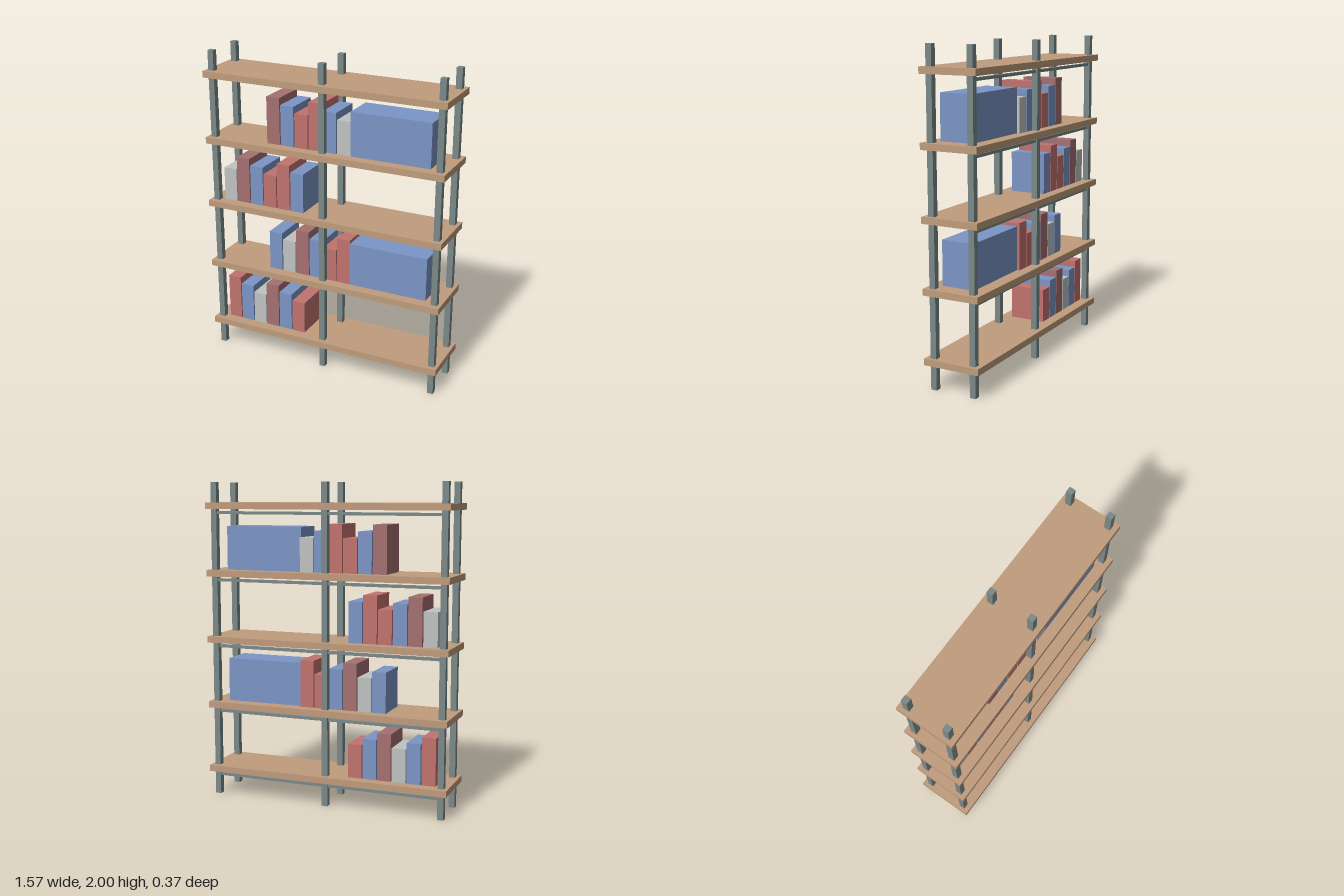
import * as THREE from 'three';

const material = (name, color) => {
  const m = new THREE.MeshStandardMaterial({ color });
  m.name = name;
  return m;
};

export function createModel() {
  const model = new THREE.Group();
  model.name = 'bookshelf';

  const wood = material('wood', 0xc09c7c);
  const metal = material('greyMetal', 0x7b8988);
  const red = material('red', 0xc1736f);
  const blue = material('blue', 0x7b95c6);
  const grey = material('paleGrey', 0xc0c3c2);
  const maroon = material('dustyMaroon', 0xa57071);

  // Box given by its size and centre
  const box = (name, mat, w, h, d, x, y, z, parent = model) => {
    const mesh = new THREE.Mesh(new THREE.BoxGeometry(w, h, d), mat);
    mesh.name = name;
    mesh.position.set(x, y, z);
    parent.add(mesh);
  };

  // Six square uprights
  for (const x of [-0.745, 0, 0.745])
    for (const z of [-0.132, 0.132])
      box('post', metal, 0.038, 2, 0.038, x, 1, z);

  // Five boards, each with a thin rail below its back edge
  const shelfY = (i) => 0.172 + i * 0.4207;
  for (let i = 0; i < 5; i++) {
    box('shelf', wood, 1.574, 0.04, 0.366, 0, shelfY(i), 0);
    box('backRail', metal, 1.46, 0.018, 0.02, 0, shelfY(i) - 0.043, -0.132);
  }

  // Books: colours and heights cycle, shifted by one on each shelf
  const colours = [red, blue, grey, maroon, blue, red];
  const heights = [0.295, 0.253, 0.212];
  for (let row = 0; row < 4; row++) {
    const books = new THREE.Group();
    books.name = 'bookRow';
    model.add(books);
    const base = shelfY(row) + 0.02;
    const start = row % 2 ? -0.341 : -0.659;
    for (let i = 0; i < 6; i++) {
      const h = heights[(row + i) % 3];
      box('book', colours[(row + i) % 6], 0.088, h, 0.23, start + i * 0.0945, base + h / 2, 0, books);
    }
    // Storage box at the end of every second row
    if (row % 2) box('storageBox', blue, 0.505, 0.274, 0.212, 0.4275, base + 0.137, 0.009, books);
  }

  return model;
}
